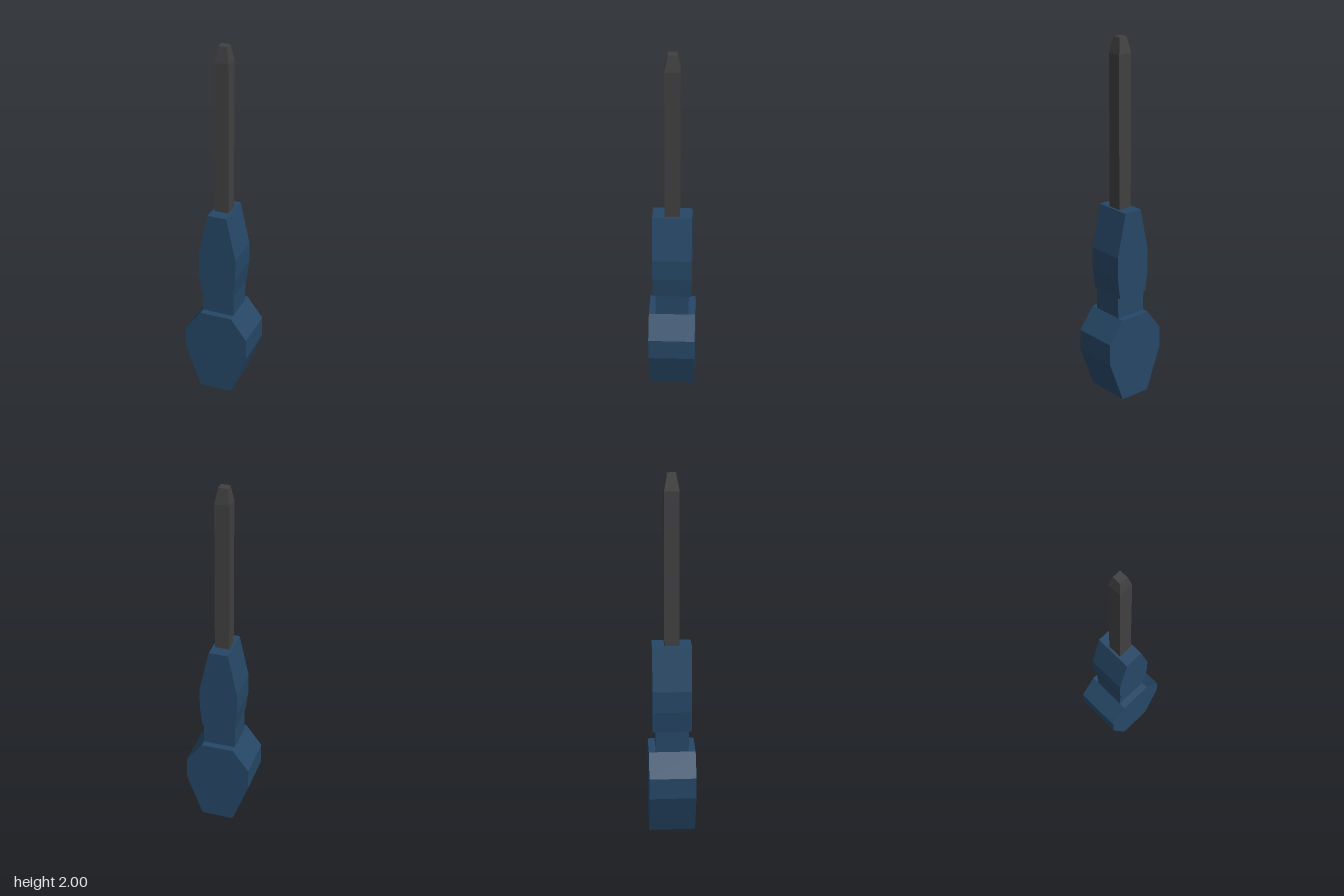
import * as THREE from 'three';

const blue = new THREE.MeshStandardMaterial({ color: 0x264766 });
blue.name = 'handleBlue';
const steel = new THREE.MeshStandardMaterial({ color: 0x404040 });
steel.name = 'darkSteel';
for (const m of [blue, steel]) m.flatShading = true;

// Symmetric outline of [halfWidth, y] points, extruded evenly about z = 0
function slab(name, points, halfDepth) {
  const mirrored = [...points].reverse().map(([x, y]) => [-x, y]);
  const shape = new THREE.Shape([...points, ...mirrored].map(([x, y]) => new THREE.Vector2(x, y)));
  const geometry = new THREE.ExtrudeGeometry(shape, { depth: halfDepth * 2, bevelEnabled: false });
  geometry.translate(0, 0, -halfDepth);
  const mesh = new THREE.Mesh(geometry, blue);
  mesh.name = name;
  return mesh;
}

// Square bar, optionally tapered, from y0 to y1
function squareBar(name, half0, half1, y0, y1, material) {
  const geometry = new THREE.CylinderGeometry(half1 * Math.SQRT2, half0 * Math.SQRT2, y1 - y0, 4);
  geometry.rotateY(Math.PI / 4);
  geometry.translate(0, (y0 + y1) / 2, 0);
  const mesh = new THREE.Mesh(geometry, material);
  mesh.name = name;
  return mesh;
}

export function createModel() {
  const group = new THREE.Group();
  group.name = 'screwdriver';
  group.add(
    // Handle: wide butt, narrow neck and tapered grip
    slab('handleButt', [[0.09, 0], [0.18, 0.24], [0.18, 0.36], [0.09, 0.48]], 0.128),
    squareBar('handleNeck', 0.09, 0.09, 0.48, 0.6, blue),
    slab('handleGrip', [[0.09, 0.6], [0.106, 0.72], [0.106, 0.84], [0.053, 1.08]], 0.106),
    // Blade: square shaft with a blunt tapered tip
    squareBar('shaft', 0.04, 0.04, 1.08, 1.915, steel),
    squareBar('tip', 0.04, 0.024, 1.915, 2, steel),
  );
  return group;
}
